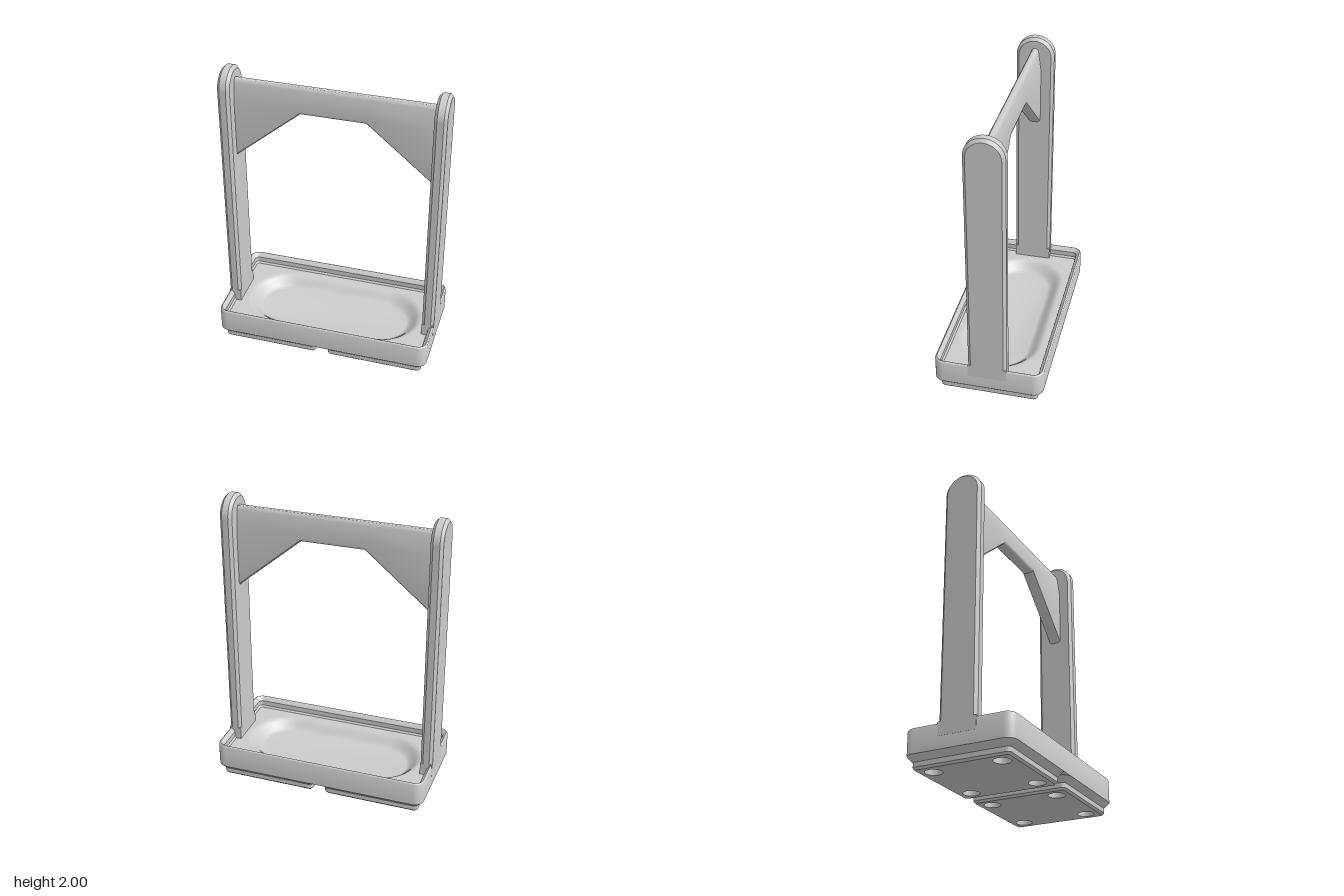
import * as THREE from 'three';
import { toCreasedNormals } from 'three/addons/utils/BufferGeometryUtils.js';

const material = new THREE.MeshStandardMaterial({ color: 0xcccccc });
const insideMaterial = new THREE.MeshStandardMaterial({ color: 0xcccccc, side: THREE.DoubleSide });

function add(parent, name, geometry, mat = material) {
  const mesh = new THREE.Mesh(geometry, mat);
  mesh.name = name;
  parent.add(mesh);
  return mesh;
}

// Ring of points around a rounded rectangle at height y
function roundedRing(hx, hz, r, y, steps = 10) {
  const ring = [];
  const corners = [[1, 1], [-1, 1], [-1, -1], [1, -1]];
  corners.forEach(([sx, sz], c) => {
    for (let i = 0; i <= steps; i++) {
      const a = (c + i / steps) * Math.PI / 2;
      ring.push([sx * (hx - r) + r * Math.cos(a), y, sz * (hz - r) + r * Math.sin(a)]);
    }
  });
  return ring;
}

// Skin a list of rings, optionally closing the first and last
function loft(rings, capStart, capEnd, crease = 0.6) {
  const n = rings[0].length;
  const points = rings.flat();
  const index = [];
  for (let k = 0; k < rings.length - 1; k++) {
    for (let i = 0; i < n; i++) {
      const j = (i + 1) % n;
      const a = k * n + i, b = k * n + j, c = a + n, d = b + n;
      index.push(a, c, b, b, c, d);
    }
  }
  const cap = (k, flip) => {
    const base = k * n;
    for (let i = 1; i < n - 1; i++) {
      if (flip) index.push(base, base + i + 1, base + i);
      else index.push(base, base + i, base + i + 1);
    }
  };
  if (capStart) cap(0, false);
  if (capEnd) cap(rings.length - 1, true);
  const g = new THREE.BufferGeometry();
  g.setAttribute('position', new THREE.Float32BufferAttribute(points.flat(), 3));
  g.setIndex(index);
  return toCreasedNormals(g, crease);
}

const ringShape = (ring) => new THREE.Shape(ring.map(([x, , z]) => new THREE.Vector2(x, z)));

function createTray() {
  const tray = new THREE.Group();
  tray.name = 'tray';
  const HX = 0.752, HZ = 0.374, R = 0.0675, floorY = 0.175;

  // Outer wall, rounded rim and stepped inside of the lip
  const profile = [[0, 0.0855], [0, 0.243], [0.004, 0.251], [0.011, 0.255], [0.017, 0.251],
    [0.036, 0.225], [0.036, 0.188], [0.047, floorY]];
  add(tray, 'trayWall', loft(profile.map(([d, y]) => roundedRing(HX - d, HZ - d, R - d, y)), true, false));

  // Flat floor around the dish
  const dishX = 0.64, dishZ = 0.29;
  const floorShape = ringShape(roundedRing(HX - 0.047, HZ - 0.047, R - 0.047, 0));
  floorShape.holes.push(ringShape(roundedRing(dishX, dishZ, dishZ, 0, 16)));
  const floor = new THREE.ShapeGeometry(floorShape);
  floor.rotateX(-Math.PI / 2).translate(0, floorY, 0);
  add(tray, 'trayFloor', floor);

  // Oval dish with a soft S-shaped side
  const dish = [];
  for (let i = 0; i <= 12; i++) {
    const t = i / 12, d = 0.11 * t;
    const y = floorY - 0.07 * (1 - Math.cos(Math.PI * t)) / 2;
    dish.push(roundedRing(dishX - d, dishZ - d, dishZ - d, y, 16));
  }
  add(tray, 'dish', loft(dish, false, true));
  return tray;
}

function createFoot() {
  const foot = new THREE.Group();
  foot.name = 'foot';
  const bottom = 0.321;
  const profile = [[bottom, 0.0144, 0], [0.335, 0.029, 0.0144], [0.335, 0.029, 0.047], [0.3737, 0.0675, 0.0857]];
  add(foot, 'footSide', loft(profile.map(([h, r, y]) => roundedRing(h, h, r, y)), false, true));

  // Underside with four round sockets
  const shape = ringShape(roundedRing(bottom, bottom, 0.0144, 0));
  const holeR = 0.056, depth = 0.043, offset = 0.234;
  for (const sx of [-1, 1]) for (const sz of [-1, 1]) {
    const x = sx * offset, z = sz * offset;
    shape.holes.push(new THREE.Path().absarc(x, z, holeR, 0, Math.PI * 2, true));
    const wall = new THREE.CylinderGeometry(holeR, holeR, depth, 32, 1, true);
    add(foot, 'socketWall', wall.translate(x, depth / 2, z), insideMaterial);
    const end = new THREE.CircleGeometry(holeR, 32);
    add(foot, 'socketEnd', end.rotateX(Math.PI / 2).translate(x, depth, z));
  }
  add(foot, 'footUnderside', new THREE.ShapeGeometry(shape, 16).rotateX(Math.PI / 2));
  return foot;
}

function createPost() {
  const post = new THREE.Group();
  post.name = 'post';
  const half = 0.132, bevel = 0.02, width = 0.084, r = half - bevel;

  // Upright with a round top and chamfered edges
  const s = new THREE.Shape();
  s.moveTo(-r, 0.2);
  s.lineTo(r, 0.2);
  s.lineTo(r, 2 - half);
  s.absarc(0, 2 - half, r, 0, Math.PI, false);
  s.closePath();
  const g = new THREE.ExtrudeGeometry(s, {
    depth: width - 2 * bevel, bevelEnabled: true, bevelSegments: 1,
    bevelSize: bevel, bevelThickness: bevel, curveSegments: 24,
  });
  g.translate(0, 0, bevel - width / 2).rotateY(Math.PI / 2);
  add(post, 'upright', toCreasedNormals(g, 0.5));

  // Square block at the base, through the lip
  add(post, 'postBase', new THREE.BoxGeometry(width, 0.092, half * 2).translate(0, 0.216, 0));
  return post;
}

// Crossbar: tapered grip on top, corner braces below
function createCrossbar() {
  const section = (x, yb) => {
    const side = [[0.02, yb], [0.033, yb + 0.004], [0.041, yb + 0.013], [0.044, yb + 0.026],
      [0.044, 1.765], [0.026, 1.9], [0.022, 1.914], [0.014, 1.923], [0.005, 1.926]];
    const mirrored = side.map(([z, y]) => [-z, y]).reverse();
    return [...side, ...mirrored].map(([z, y]) => [x, y, z]);
  };
  const rings = [[-0.68, 1.35], [-0.22, 1.735], [0.22, 1.735], [0.68, 1.35]].map(([x, y]) => section(x, y));
  return loft(rings, true, true, 0.5);
}

export function createModel() {
  const model = new THREE.Group();
  model.name = 'handledTray';
  model.add(createTray());
  for (const side of [-1, 1]) {
    const foot = createFoot();
    foot.position.x = side * 0.378;
    const post = createPost();
    post.position.x = side * 0.711;
    model.add(foot, post);
  }
  add(model, 'crossbar', createCrossbar());
  return model;
}
